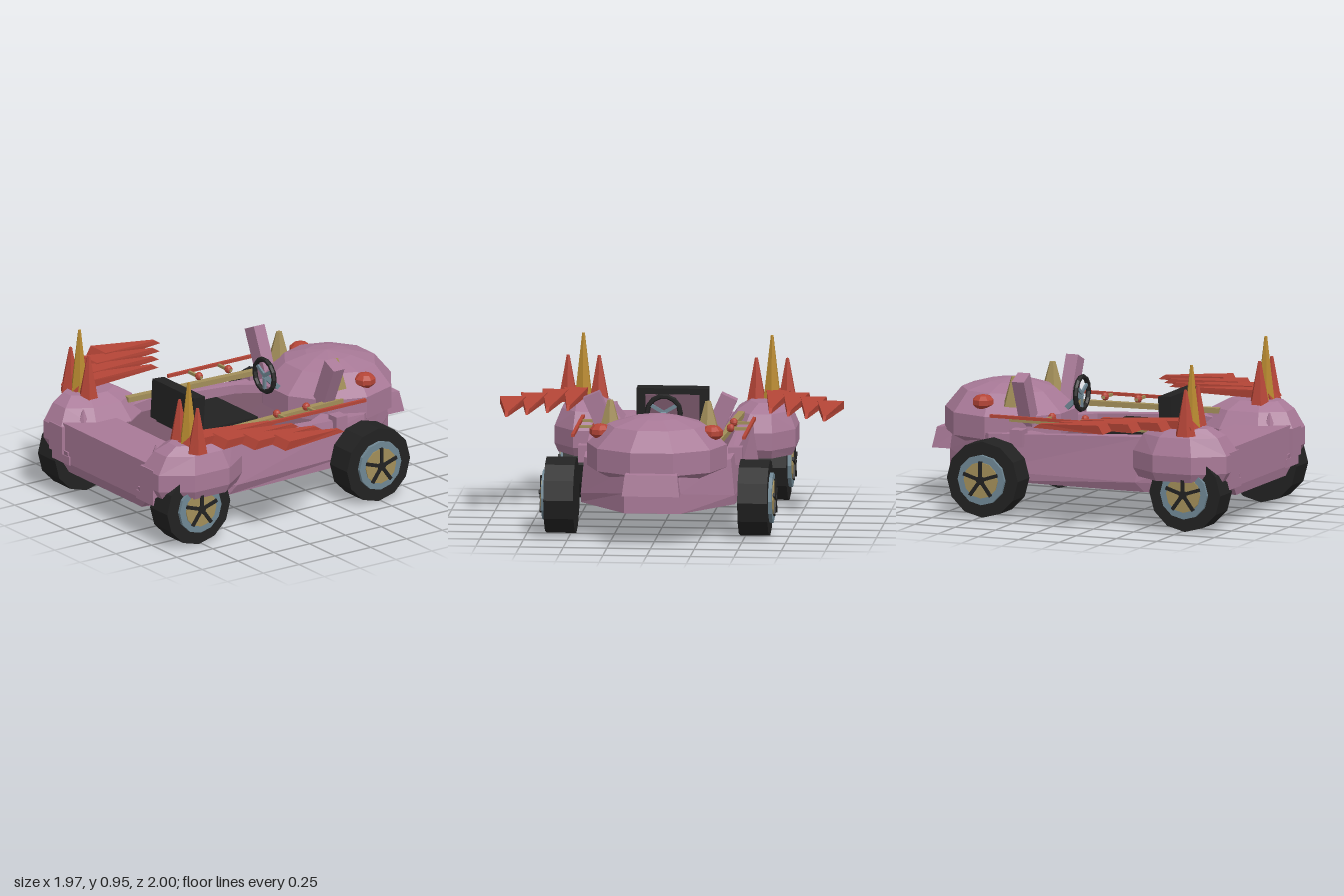
import * as THREE from 'three';

const mat = (name, color) => Object.assign(new THREE.MeshStandardMaterial({ color, flatShading: true }), { name });
const MAUVE = mat('mauve body', 0xa87997);
const PLUM = mat('dark plum trim', 0x785669);
const RED = mat('red spikes', 0xb54537);
const GOLD = mat('gold spikes', 0xb88a30);
const TAN = mat('tan metal', 0xa28e59);
const BLACK = mat('black rubber', 0x222222);
const SLATE = mat('slate metal', 0x6f8794);

function add(parent, name, geometry, material, x = 0, y = 0, z = 0) {
  const mesh = new THREE.Mesh(geometry, material);
  mesh.name = name;
  mesh.position.set(x, y, z);
  parent.add(mesh);
  return mesh;
}

const box = (w, h, d) => new THREE.BoxGeometry(w, h, d);

// Skin through rings of [x, y, z], anticlockwise from above and listed upward
function loft(rings, bottom = true, top = true) {
  const v = [];
  const n = rings[0].length;
  for (let k = 0; k < rings.length - 1; k++) {
    for (let i = 0; i < n; i++) {
      const j = (i + 1) % n;
      const [a, b, c, d] = [rings[k][i], rings[k][j], rings[k + 1][j], rings[k + 1][i]];
      v.push(...a, ...b, ...c, ...a, ...c, ...d);
    }
  }
  const last = rings[rings.length - 1];
  for (let i = 1; i < n - 1; i++) {
    if (bottom) v.push(...rings[0][0], ...rings[0][i + 1], ...rings[0][i]);
    if (top) v.push(...last[0], ...last[i], ...last[i + 1]);
  }
  const g = new THREE.BufferGeometry();
  g.setAttribute('position', new THREE.Float32BufferAttribute(v, 3));
  g.computeVertexNormals();
  return g;
}

// Elliptical n-sided ring
function ring(n, phase, cx, cz, rx, rz, y) {
  return Array.from({ length: n }, (_, i) => {
    const a = phase + (i / n) * Math.PI * 2;
    return [cx + rx * Math.cos(a), y, cz - rz * Math.sin(a)];
  });
}

// Half outline (front to back) completed by its mirror image
const mirrored = (half) => [...half, ...half.slice().reverse().map(([x, y, z]) => [-x, y, z])];

// Straight square bar between two points
function bar(parent, name, a, b, w, h, material) {
  const p = new THREE.Vector3(...a), q = new THREE.Vector3(...b);
  const m = add(parent, name, box(w, h, p.distanceTo(q)), material);
  m.position.copy(p).add(q).multiplyScalar(0.5);
  m.lookAt(q);
  return m;
}

function spike(parent, name, r, h, material, x, y, z) {
  return add(parent, name, new THREE.CylinderGeometry(r * 0.15, r, h, 6), material, x, y + h / 2, z);
}

function wheel(name) {
  const g = new THREE.Group();
  g.name = name;
  const disc = (part, r, x0, x1, m, n = 12) =>
    add(g, part, new THREE.CylinderGeometry(r, r, x1 - x0, n).rotateZ(Math.PI / 2), m, (x0 + x1) / 2);
  disc('tyre', 0.22, -0.085, 0.085, BLACK);
  disc('rim', 0.145, 0.05, 0.105, SLATE);
  disc('hubPlate', 0.105, 0.1, 0.111, TAN);
  disc('hubCap', 0.025, 0.1, 0.124, BLACK, 8);
  for (let i = 0; i < 5; i++) {
    const a = (i / 5) * Math.PI * 2;
    const s = add(g, 'spoke', box(0.012, 0.11, 0.02), BLACK, 0.115, Math.cos(a) * 0.055, Math.sin(a) * 0.055);
    s.rotation.x = a;
  }
  return g;
}

// Everything that appears on both flanks, modelled on the +x side
function buildSide() {
  const s = new THREE.Group();

  for (const [name, z] of [['frontWheel', 0.77], ['rearWheel', -0.485]]) {
    const w = wheel(name);
    w.position.set(0.555, 0.22, z);
    s.add(w);
  }

  // Rounded front fender with its inner lower half
  const oct = (cx, cz, rx, rz, y) => ring(8, Math.PI / 8, cx, cz, rx / 0.924, rz / 0.924, y);
  add(s, 'fender', loft([
    oct(0.49, 0.71, 0.18, 0.26, 0.29), oct(0.485, 0.71, 0.205, 0.29, 0.34), oct(0.485, 0.71, 0.205, 0.29, 0.44),
    oct(0.5, 0.71, 0.15, 0.23, 0.54), oct(0.52, 0.72, 0.095, 0.15, 0.59),
  ]), MAUVE);
  add(s, 'fenderInner', loft([
    oct(0.4, 0.7, 0.06, 0.17, 0.17), oct(0.385, 0.71, 0.085, 0.27, 0.25), oct(0.385, 0.71, 0.09, 0.28, 0.31),
  ]), MAUVE);
  add(s, 'fenderPlate', box(0.13, 0.165, 0.06), MAUVE, 0.45, 0.37, 0.97);
  add(s, 'fenderLip', box(0.17, 0.05, 0.05), MAUVE, 0.415, 0.26, 0.965);
  spike(s, 'fenderStud', 0.03, 0.07, MAUVE, 0.36, 0.47, 0.87);

  // Upright crown of spikes
  spike(s, 'tallSpike', 0.058, 0.4, GOLD, 0.54, 0.55, 0.77);
  for (const x of [0.45, 0.628]) spike(s, 'shortSpike', 0.062, 0.265, RED, x, 0.555, 0.77);

  // Swept wing blades
  for (let i = 0; i < 4; i++) {
    const x = 0.58 + i * 0.11, zb = 0.82 - i * 0.137, zt = 0.195 - i * 0.082;
    const lower = [[x + 0.075, 0.592, zb], [x + 0.006, 0.592, zt], [x - 0.006, 0.592, zt], [x - 0.075, 0.592, zb]];
    const upper = [[x + 0.075, 0.642, zb - 0.03], [x + 0.01, 0.618, zt + 0.04],
      [x - 0.01, 0.618, zt + 0.04], [x - 0.075, 0.642, zb - 0.03]];
    add(s, 'wingBlade', loft([lower, upper]), RED);
  }

  // Side rails with cross pegs
  bar(s, 'innerRail', [0.335, 0.53, -0.44], [0.385, 0.53, 0.55], 0.04, 0.03, TAN);
  bar(s, 'outerRail', [0.49, 0.565, -0.5], [0.49, 0.565, 0.19], 0.018, 0.018, RED);
  for (const z of [-0.16, 0.045]) {
    bar(s, 'railPeg', [0.36, 0.562, z], [0.49, 0.562, z], 0.016, 0.016, TAN);
    add(s, 'railKnob', new THREE.SphereGeometry(0.024, 8, 6), RED, 0.385, 0.565, z);
  }

  // Tilted rear post, horn and lamp
  add(s, 'rearPost', box(0.1, 0.3, 0.075), MAUVE, 0.335, 0.645, -0.35).rotation.z = -0.42;
  add(s, 'postFoot', box(0.08, 0.1, 0.075), MAUVE, 0.43, 0.44, -0.35);
  add(s, 'rearHorn', new THREE.CylinderGeometry(0.018, 0.068, 0.17, 6), TAN, 0.28, 0.68, -0.44);
  add(s, 'lamp', new THREE.SphereGeometry(0.066, 8, 5).scale(1, 0.68, 1), RED, 0.32, 0.613, -0.615);
  return s;
}

export function createModel() {
  const model = new THREE.Group();
  model.name = 'kart';

  // Hull with recessed cockpit
  const floor = mirrored([[0.38, 0.43, 0.68], [0.38, 0.43, 0.4], [0.37, 0.41, -0.2], [0.25, 0.41, -0.4]]);
  add(model, 'hull', loft([
    mirrored([[0.36, 0.185, 0.97], [0.48, 0.185, 0.45], [0.44, 0.185, -0.52], [0.16, 0.185, -0.89]]),
    mirrored([[0.42, 0.24, 0.98], [0.5, 0.24, 0.4], [0.44, 0.24, -0.54], [0.16, 0.3, -0.89]]),
    mirrored([[0.42, 0.47, 0.98], [0.46, 0.5, 0.45], [0.42, 0.45, -0.54], [0.16, 0.43, -0.87]]),
    mirrored([[0.38, 0.47, 0.68], [0.38, 0.5, 0.4], [0.37, 0.465, -0.2], [0.25, 0.46, -0.4]]),
    floor,
  ], true, false), MAUVE);
  add(model, 'cockpitFloor', loft([floor, floor.map(([x, y, z]) => [x, y + 0.004, z])]), PLUM);

  // Faceted rear dome and tail block
  const dec = (r, y, dz = 0) => ring(10, 0, 0, -0.575 + dz, 0.4 * r, 0.378 * r, y);
  add(model, 'rearDome', loft([
    dec(0.8, 0.37), dec(1, 0.41), dec(1, 0.54), dec(0.7, 0.655, -0.02), dec(0.35, 0.695, -0.01), dec(0.02, 0.712),
  ]), MAUVE);
  add(model, 'tailBlock', loft([
    mirrored([[0.16, 0.3, -0.8], [0.165, 0.3, -1]]),
    mirrored([[0.14, 0.435, -0.8], [0.15, 0.42, -0.975]]),
  ]), MAUVE);

  // Seat
  add(model, 'seatCushion', box(0.41, 0.085, 0.42), BLACK, 0, 0.452, 0.26);
  const back = add(model, 'seatBack', box(0.41, 0.23, 0.08), BLACK, 0, 0.58, 0.465);
  back.rotation.x = -0.06;
  add(back, 'seatPanel', box(0.31, 0.16, 0.008), PLUM, 0, 0, -0.042);

  // Steering wheel on its column
  const steering = new THREE.Group();
  steering.name = 'steeringWheel';
  steering.position.set(0, 0.645, -0.14);
  model.add(steering);
  add(steering, 'steeringRim', new THREE.TorusGeometry(0.095, 0.015, 6, 14), BLACK);
  for (const a of [0, 2.1, -2.1]) {
    const spoke = add(steering, 'steeringSpoke', box(0.02, 0.09, 0.012), SLATE, Math.sin(a) * 0.045, -Math.cos(a) * 0.045, 0);
    spoke.rotation.z = a;
  }
  bar(model, 'steeringColumn', [0, 0.64, -0.14], [0, 0.52, -0.27], 0.028, 0.028, SLATE);

  // Matching flanks
  const left = buildSide();
  left.name = 'leftSide';
  const right = buildSide();
  right.name = 'rightSide';
  right.scale.x = -1;
  model.add(left, right);
  return model;
}
